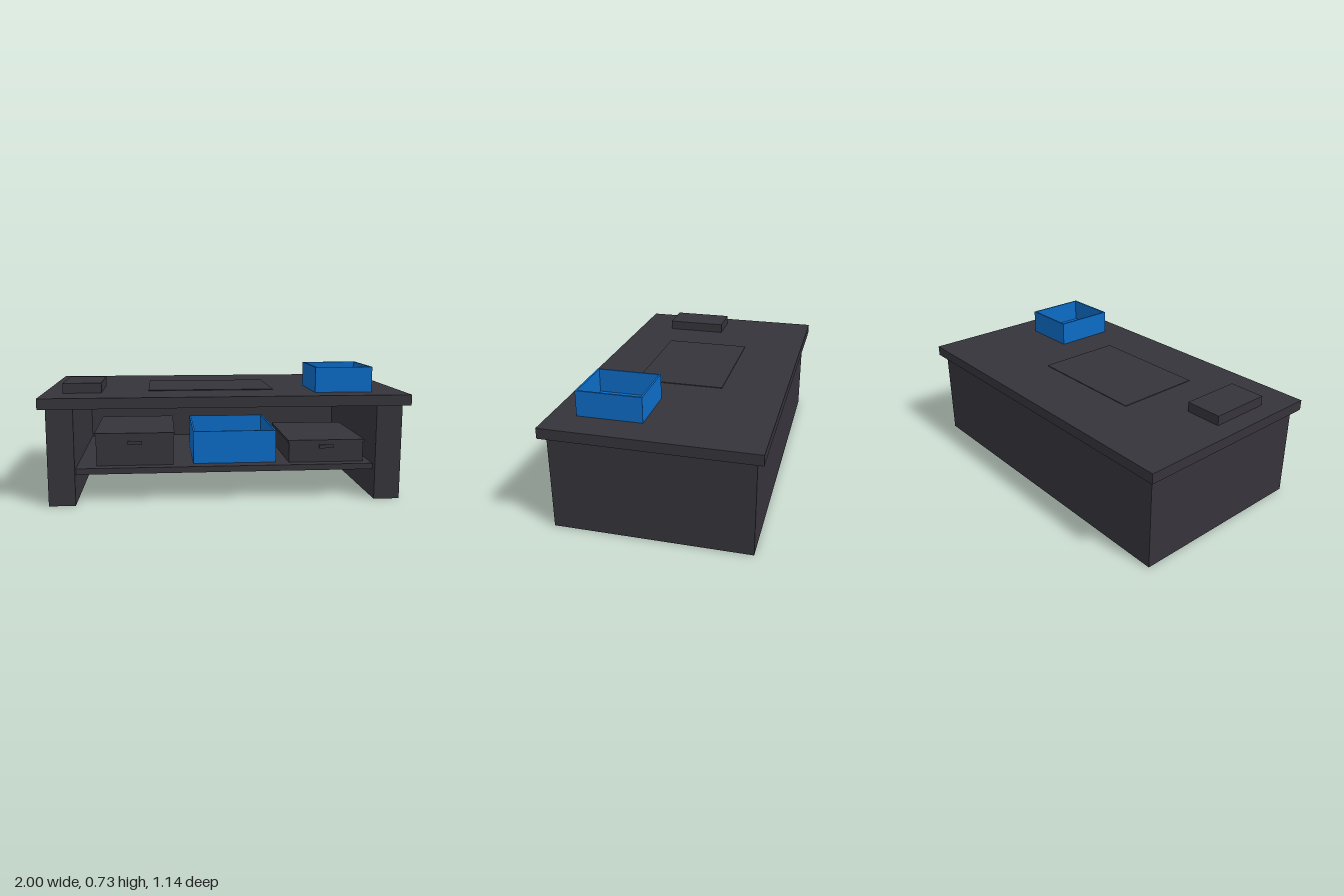
import * as THREE from 'three';

export function createModel() {
  const model = new THREE.Group();
  model.name = 'coffeeTable';

  const dark = new THREE.MeshStandardMaterial({ color: 0x36343b });
  dark.name = 'charcoal';
  const blue = new THREE.MeshStandardMaterial({ color: 0x0c6cc6 });
  blue.name = 'blue';

  // Box given by its extents on each axis
  function block(name, [x0, x1], [y0, y1], [z0, z1], material = dark, parent = model) {
    const mesh = new THREE.Mesh(new THREE.BoxGeometry(x1 - x0, y1 - y0, z1 - z0), material);
    mesh.position.set((x0 + x1) / 2, (y0 + y1) / 2, (z0 + z1) / 2);
    mesh.name = name;
    parent.add(mesh);
    return mesh;
  }

  // Open box: extruded rim with a floor
  function openTray(name, [x0, x1], [y0, y1], [z0, z1], wall = 0.01) {
    const tray = new THREE.Group();
    tray.name = name;
    const w = (x1 - x0) / 2, d = (z1 - z0) / 2;
    const rect = (C, a, b) => new C([[-a, -b], [a, -b], [a, b], [-a, b]].map(p => new THREE.Vector2(...p)));
    const outline = rect(THREE.Shape, w, d);
    outline.holes.push(rect(THREE.Path, w - wall, d - wall));
    const rim = new THREE.ExtrudeGeometry(outline, { depth: y1 - y0, bevelEnabled: false });
    rim.rotateX(-Math.PI / 2);
    const walls = new THREE.Mesh(rim, blue);
    walls.name = 'trayWalls';
    walls.position.set((x0 + x1) / 2, y0, (z0 + z1) / 2);
    tray.add(walls);
    block('trayFloor', [x0 + wall, x1 - wall], [y0, y0 + wall], [z0 + wall, z1 - wall], blue, tray);
    model.add(tray);
  }

  // Closed storage box with an overhanging lid and a small handle
  function storageBox(name, x0, x1, y0, y1, z0, z1) {
    const box = new THREE.Group();
    box.name = name;
    const lip = 0.006, lidY = y1 - 0.014, cx = (x0 + x1) / 2, hy = y0 + (y1 - y0) * 0.7;
    block('boxBody', [x0, x1], [y0, lidY], [z0, z1], dark, box);
    block('boxLid', [x0 - lip, x1 + lip], [lidY, y1], [z0 - lip, z1 + lip], dark, box);
    block('boxHandle', [cx - 0.04, cx + 0.04], [hy - 0.01, hy + 0.01], [z1, z1 + 0.008], dark, box);
    model.add(box);
  }

  // Table frame
  block('tableTop', [-1, 1], [0.53, 0.588], [-0.57, 0.57]);
  block('leftSide', [0.82, 0.963], [0, 0.53], [-0.535, 0.535]);
  block('rightSide', [-0.963, -0.82], [0, 0.53], [-0.535, 0.535]);
  block('backPanel', [-0.82, 0.82], [0, 0.53], [-0.535, -0.46]);
  block('shelf', [-0.82, 0.82], [0.16, 0.193], [-0.46, 0.49]);

  // Boxes on the shelf
  storageBox('tallStorageBox', -0.715, -0.29, 0.193, 0.375, -0.14, 0.43);
  storageBox('lowStorageBox', 0.357, 0.78, 0.193, 0.32, -0.14, 0.43);
  openTray('shelfTray', [-0.18, 0.285], [0.193, 0.375], [-0.14, 0.415]);

  // Items on the table top
  openTray('topTray', [0.498, 0.818], [0.588, 0.728], [0.073, 0.43]);
  block('smallBox', [-0.893, -0.682], [0.588, 0.643], [0, 0.355]);
  block('mat', [-0.425, 0.285], [0.588, 0.592], [-0.215, 0.285]);

  return model;
}
